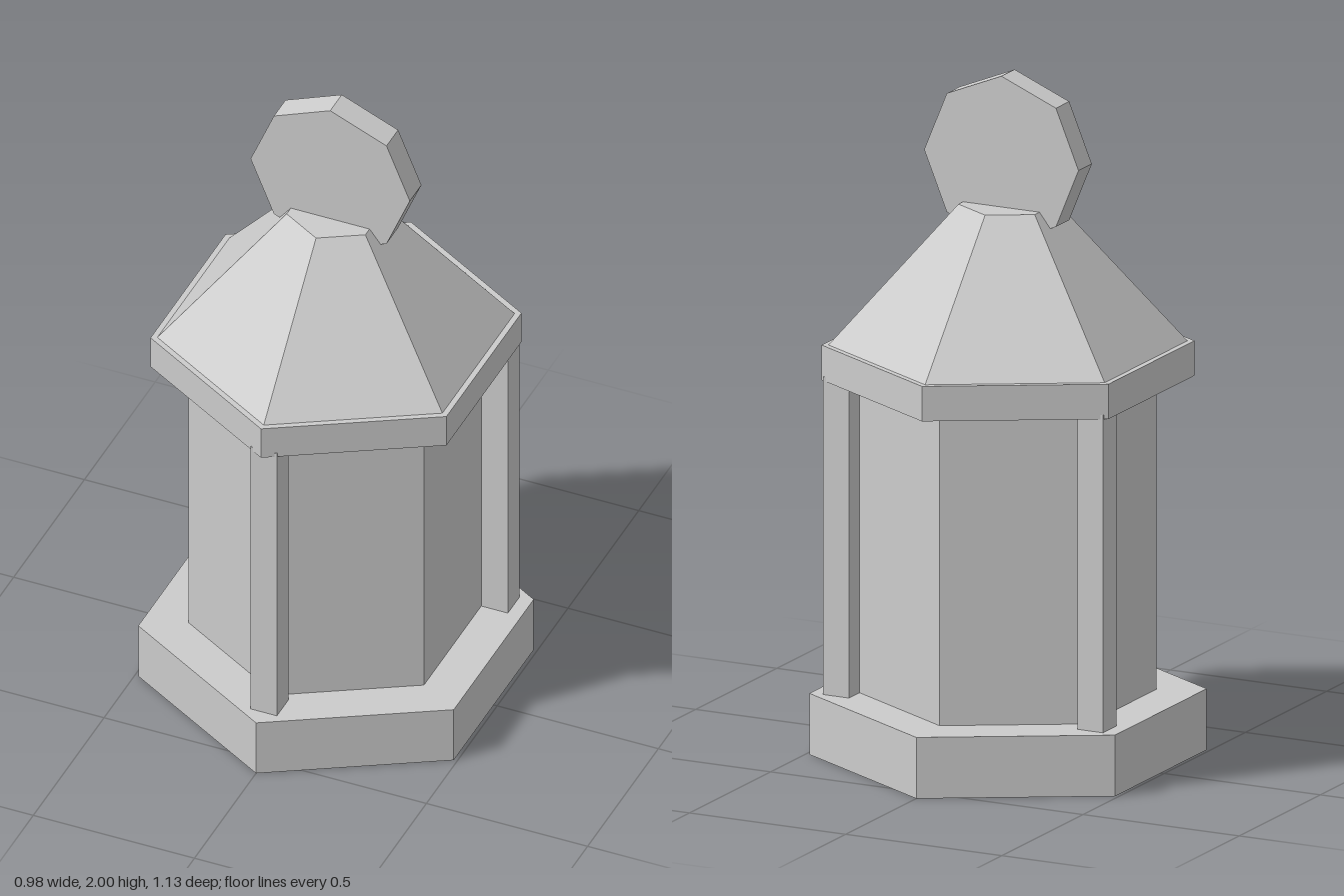
import * as THREE from 'three';

export function createModel() {
  const group = new THREE.Group();
  group.name = 'lantern';
  const material = new THREE.MeshStandardMaterial({ color: 0xcccccc, flatShading: true });

  const add = (name, geometry, x, y, z) => {
    const mesh = new THREE.Mesh(geometry, material);
    mesh.name = name;
    mesh.position.set(x, y, z);
    group.add(mesh);
    return mesh;
  };

  // Six-sided section with a corner facing the front
  const hexagon = (name, bottomRadius, topRadius, y0, y1) =>
    add(name, new THREE.CylinderGeometry(topRadius, bottomRadius, y1 - y0, 6), 0, (y0 + y1) / 2, 0);

  hexagon('base', 0.565, 0.565, 0, 0.18);
  hexagon('glassBody', 0.422, 0.422, 0.16, 1.083);
  hexagon('roofRim', 0.53, 0.53, 1.102, 1.205);
  hexagon('roof', 0.515, 0.141, 1.2, 1.615);

  // Three upright posts at every other corner, all square to the axes
  const postSize = 0.082, postBottom = 0.17, postTop = 1.115;
  for (let i = 0; i < 3; i++) {
    const angle = (i * Math.PI * 2) / 3;
    add('post' + (i + 1), new THREE.BoxGeometry(postSize, postTop - postBottom, postSize),
      0.47 * Math.sin(angle), (postBottom + postTop) / 2, 0.47 * Math.cos(angle));
  }

  // Upright eight-sided disc set into the roof as a handle
  const handle = add('handle', new THREE.CylinderGeometry(0.247, 0.247, 0.082, 8), 0, 1.753, 0);
  handle.rotation.x = Math.PI / 2;

  return group;
}
